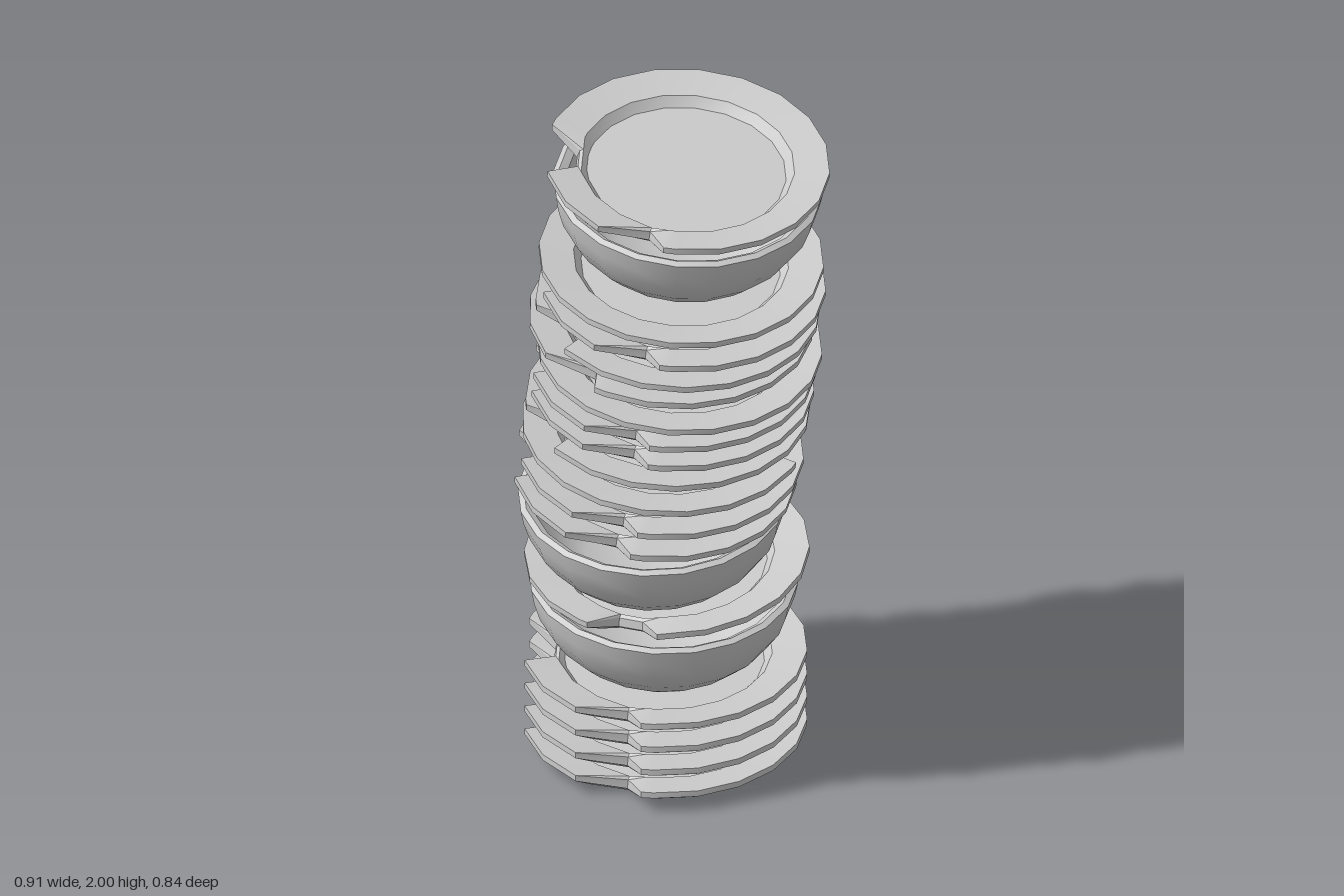
import * as THREE from 'three';
import { toCreasedNormals } from 'three/addons/utils/BufferGeometryUtils.js';

const SIDES = 20;

// Plate cross-section [radius, height] and the same section where a piece is broken off
const PLATE = [[0, 0], [0.31, 0], [0.38, 0.048], [0.38, 0.066], [0.287, 0.052], [0.266, 0.026], [0, 0.026]];
const BROKEN = [[0, 0], [0.285, 0], [0.296, 0.012], [0.29, 0.036], [0.28, 0.042], [0.266, 0.026], [0, 0.026]];

// Chips as [angle in degrees (from +x towards +z), amount broken]
const CHIPS = {
  wedge: [[128, 0], [137, 1], [150, 1], [158, 0]],
  notch: [[59, 0], [69, 1], [88, 0]],
};

// Sweep the plate section around the axis, blending to the broken section at the chips
function plateGeometry(chipNames) {
  const chips = chipNames.map((n) => CHIPS[n]);
  const stops = chips.flat();
  for (let i = 0; i < SIDES; i++) {
    const a = (i * 360) / SIDES;
    if (!chips.some((c) => a > c[0][0] - 4 && a < c[c.length - 1][0] + 4)) stops.push([a, 0]);
  }
  stops.sort((a, b) => a[0] - b[0]);
  const pos = [], index = [], n = PLATE.length;
  for (const [deg, amount] of stops) {
    const a = THREE.MathUtils.degToRad(deg);
    PLATE.forEach(([r0, y0], k) => {
      const r = THREE.MathUtils.lerp(r0, BROKEN[k][0], amount);
      const y = THREE.MathUtils.lerp(y0, BROKEN[k][1], amount);
      pos.push(r * Math.cos(a), y, r * Math.sin(a));
    });
  }
  for (let i = 0; i < stops.length; i++) {
    const p = i * n, q = ((i + 1) % stops.length) * n;
    for (let k = 0; k < n - 1; k++) {
      if (k > 0) index.push(p + k, p + k + 1, q + k);
      if (k < n - 2) index.push(q + k, p + k + 1, q + k + 1);
      else continue;
    }
  }
  const g = new THREE.BufferGeometry();
  g.setAttribute('position', new THREE.Float32BufferAttribute(pos, 3));
  g.setIndex(index);
  return toCreasedNormals(g, 0.45);
}

// Round bowl with a thin wall
function bowlGeometry() {
  const profile = [
    [0, 0], [0.19, 0], [0.25, 0.045], [0.3, 0.095], [0.335, 0.15], [0.352, 0.205], [0.36, 0.25],
    [0.345, 0.258], [0.325, 0.245], [0.315, 0.19], [0.265, 0.1], [0.18, 0.035], [0, 0.03],
  ].map(([r, y]) => new THREE.Vector2(r, y));
  return toCreasedNormals(new THREE.LatheGeometry(profile, SIDES), 0.75);
}

export function createModel() {
  const group = new THREE.Group();
  const material = new THREE.MeshStandardMaterial({ color: 0xcccccc, side: THREE.DoubleSide });
  const shapes = {
    both: plateGeometry(['wedge', 'notch']),
    wedge: plateGeometry(['wedge']),
    notch: plateGeometry(['notch']),
    whole: plateGeometry([]),
    bowl: bowlGeometry(),
  };

  // Stand a dish on its base centre, tilted about x and z, turned about its own axis
  function dish(kind, x, y, z, tiltX, tiltZ, turn = 0) {
    const m = new THREE.Mesh(shapes[kind], material);
    m.name = kind === 'bowl' ? 'bowl' : 'plate';
    m.position.set(x, y, z);
    m.rotation.set(tiltX, turn, tiltZ, 'XZY');
    group.add(m);
  }

  // Bottom plates
  for (let i = 0; i < 4; i++) dish('both', -0.073, 0.003 + i * 0.0735, -0.04, 0, 0);

  // Lower bowls with a plate between
  dish('bowl', -0.065, 0.285, -0.018, 0.015, -0.035);
  dish('wedge', -0.062, 0.54, -0.04, 0.067, 0, 1.3);
  dish('bowl', -0.05, 0.592, 0.035, 0.06, -0.045);

  // Leaning stack of plates: [kind, x, y, tiltZ, turn]
  const stack = [
    ['both', -0.05, 0.85, -0.11],
    ['both', -0.025, 0.925, -0.085],
    ['wedge', -0.015, 1.005, -0.09, 3.07],
    ['wedge', 0, 1.09, -0.075, 0.45],
    ['both', 0.012, 1.16, -0.08],
    ['both', 0.018, 1.222, -0.075],
    ['whole', 0.04, 1.287, -0.075],
    ['notch', 0.01, 1.362, -0.085, -0.4],
    ['wedge', 0.035, 1.425, -0.08, 0.45],
    ['both', 0.053, 1.497, -0.075],
    ['whole', 0.045, 1.572, -0.085],
  ];
  for (const [kind, x, y, tiltZ, turn] of stack) dish(kind, x, y, 0.035, 0.025, tiltZ, turn);

  // Top bowl and plate
  dish('bowl', 0.055, 1.63, 0.035, 0.02, -0.085);
  dish('both', 0.07, 1.893, 0.04, 0.03, -0.1);

  return group;
}
